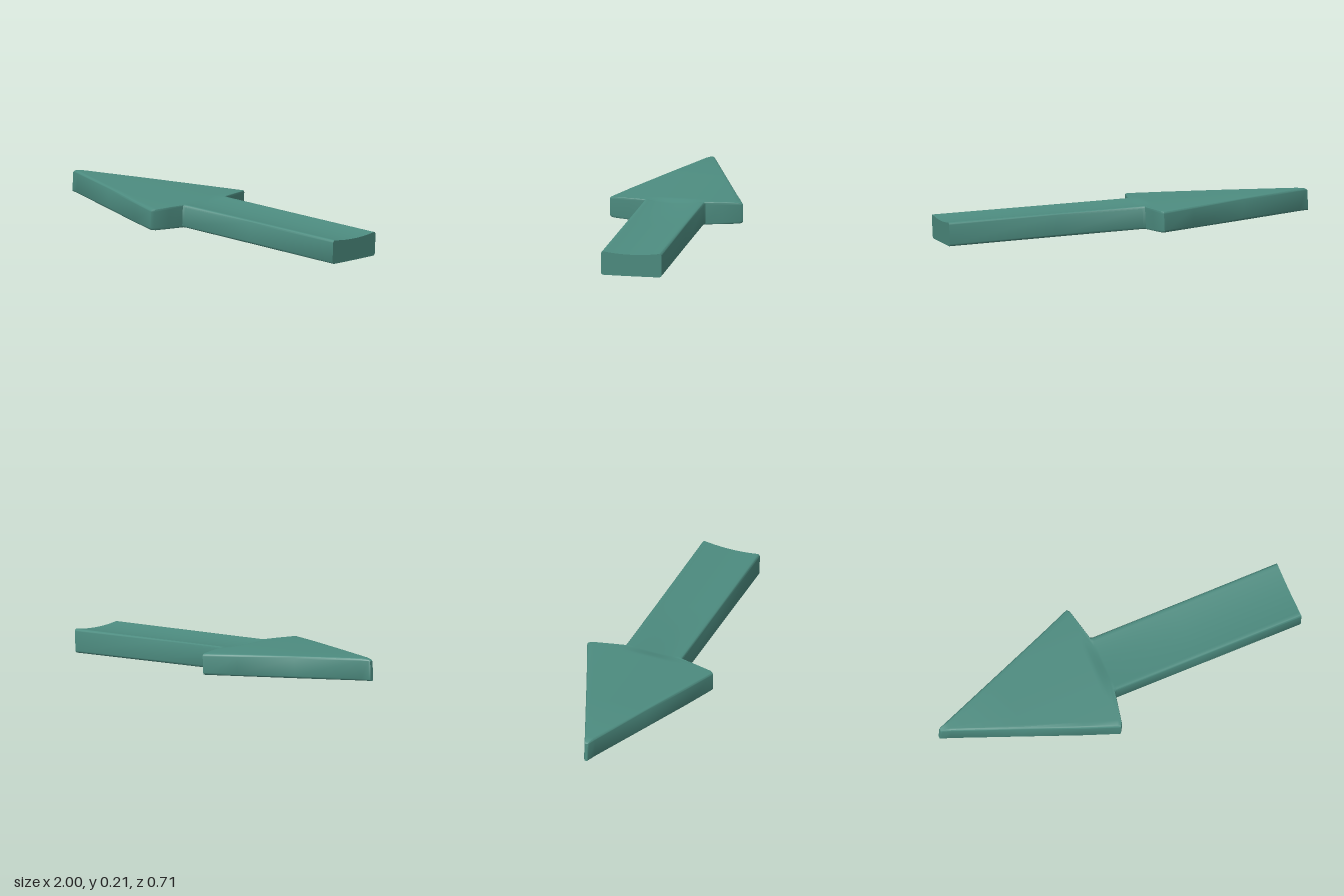
import * as THREE from 'three';
import { toCreasedNormals } from 'three/addons/utils/BufferGeometryUtils.js';

// Stations along the arrow: x, half width, groove depth, top offset, z shift
const STATIONS = [
  [-1, 0.009, 0, -0.012, 0], [-0.99, 0.014, 0, -0.005, 0], [-0.95, 0.029, 0, 0, 0],
  [-0.6, 0.167, 0, 0, 0], [-0.3, 0.286, 0, 0, 0], [-0.135, 0.351, 0, 0, -0.003],
  [-0.12, 0.356, 0, 0, -0.003], [-0.109, 0.342, 0.002, 0, -0.003],
  [-0.09, 0.252, 0.006, 0, -0.003], [-0.072, 0.166, 0.011, 0, -0.003],
  [-0.06, 0.161, 0.013, 0, -0.003], [0.4, 0.161, 0.013, 0, -0.005],
  [0.994, 0.162, 0.013, 0, -0.008],
];

// One closed cross-section: grooved top, rounded corners, flat underside
function section([x, w, groove, lift, shift]) {
  const r = Math.min(0.013, w * 0.6), flat = w - r, n = 24, arc = 4;
  const bottomY = 0.049 - 0.046 * x, topY = 0.1725 - 0.0405 * x + lift;
  const top = z => topY - 0.06 * z * z - groove * Math.max(0, 1 - (z / 0.15) ** 2);
  const bottom = z => bottomY + 0.035 * z * z;
  const pts = [];
  const corner = (side, base, dir, from) => {
    for (let k = 1; k < arc; k++) {
      const a = (from + k / arc) * Math.PI / 2;
      pts.push([side * flat + r * Math.cos(a), base - dir * r + r * Math.sin(a)]);
    }
  };
  for (let i = 0; i <= n; i++) {
    const z = flat * (2 * i / n - 1);
    pts.push([z, top(z)]);
  }
  // Corner arcs, turning from the top down the +z side and back up the -z side
  const down = (side, base, dir, angles) => angles.forEach(a =>
    pts.push([side * flat + r * Math.cos(a), base - dir * r + r * Math.sin(a)]));
  const sweep = (a0, a1, skipFirst, skipLast) => {
    const out = [];
    for (let k = skipFirst ? 1 : 0; k <= arc - (skipLast ? 1 : 0); k++) out.push(a0 + (a1 - a0) * k / arc);
    return out;
  };
  const q = Math.PI / 2;
  down(1, top(flat), 1, sweep(q, 0, true, false));
  down(1, bottom(flat), -1, sweep(0, -q, false, true));
  for (let i = 0; i <= n; i++) {
    const z = flat * (1 - 2 * i / n);
    pts.push([z, bottom(z)]);
  }
  down(-1, bottom(flat), -1, sweep(-q, -2 * q, true, false));
  down(-1, top(flat), 1, sweep(2 * q, q, false, true));
  // The ends stand square to the slight tilt
  const mid = (topY + bottomY) / 2;
  return pts.map(([z, y]) => [x + (y - mid) * 0.045, y, z + shift]);
}

// Loft through the sections and close both ends
function loft(rings) {
  const m = rings[0].length, pos = rings.flat(2), idx = [];
  for (let i = 0; i < rings.length - 1; i++) {
    for (let j = 0; j < m; j++) {
      const k = (j + 1) % m, a = i * m + j, b = i * m + k;
      idx.push(a, b, a + m, b, b + m, a + m);
    }
  }
  [0, rings.length - 1].forEach(i => {
    const c = pos.length / 3;
    for (let d = 0; d < 3; d++) pos.push(rings[i].reduce((s, p) => s + p[d], 0) / m);
    for (let j = 0; j < m; j++) {
      const a = i * m + j, b = i * m + (j + 1) % m;
      idx.push(c, i ? a : b, i ? b : a);
    }
  });
  const g = new THREE.BufferGeometry();
  g.setAttribute('position', new THREE.Float32BufferAttribute(pos, 3));
  g.setIndex(idx);
  return toCreasedNormals(g, 0.6);
}

export function createModel() {
  const group = new THREE.Group();
  group.name = 'arrow';
  // Head and grooved shaft are one continuous body
  const body = new THREE.Mesh(
    loft(STATIONS.map(section)),
    new THREE.MeshStandardMaterial({ color: 0x4d8c80 })
  );
  body.name = 'arrowBody';
  group.add(body);
  return group;
}
